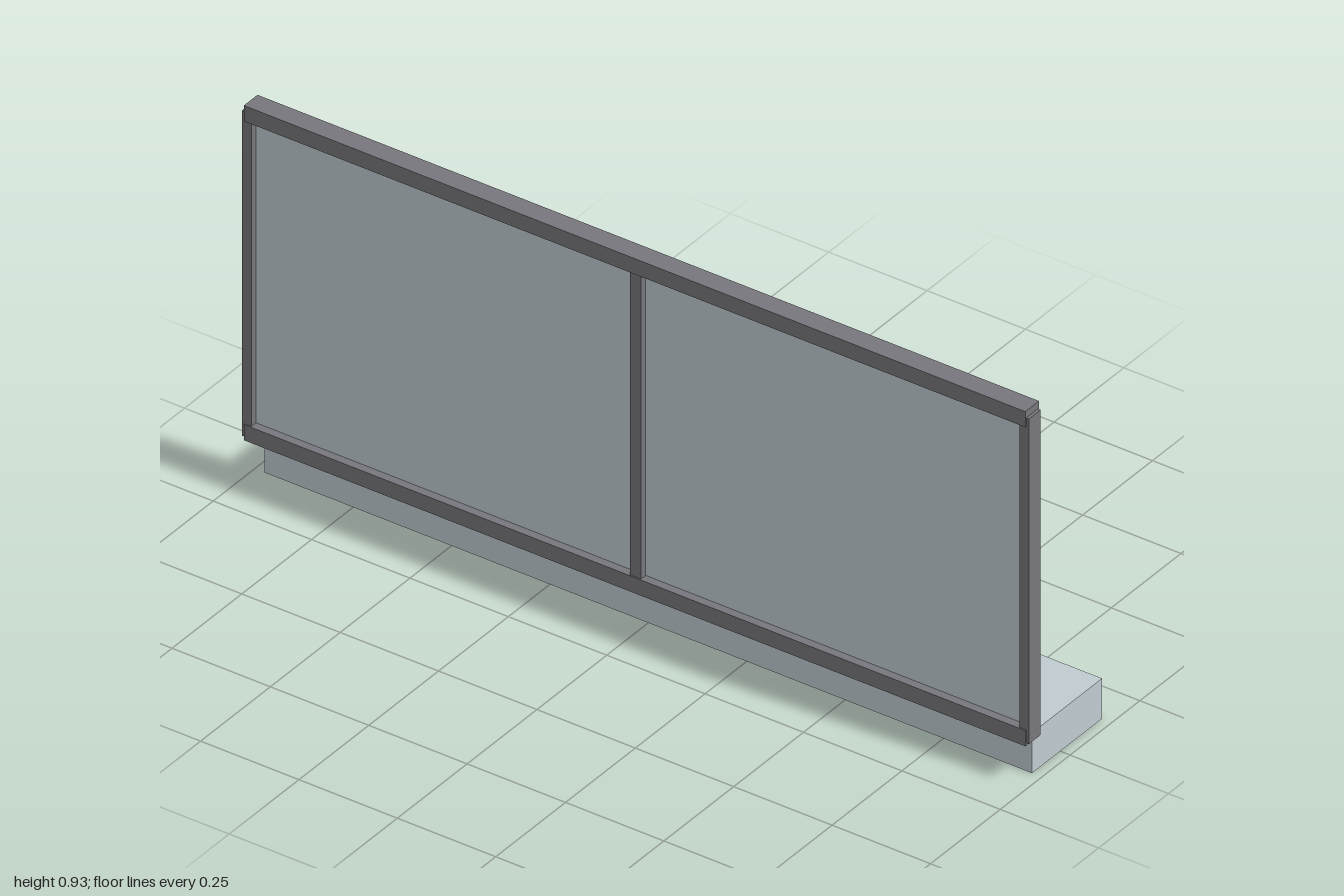
import * as THREE from 'three';

const pale = new THREE.MeshStandardMaterial({ name: 'pale grey', color: 0xc0cbd0 });
const dark = new THREE.MeshStandardMaterial({ name: 'dark grey', color: 0x76767c });

function add(parent, name, geometry, material, x, y, z) {
  const mesh = new THREE.Mesh(geometry, material);
  mesh.name = name;
  mesh.position.set(x, y, z);
  parent.add(mesh);
  return mesh;
}

// Box given by its minimum and maximum on each axis
function box(parent, name, material, [x0, x1], [y0, y1], [z0, z1]) {
  return add(parent, name, new THREE.BoxGeometry(x1 - x0, y1 - y0, z1 - z0), material,
    (x0 + x1) / 2, (y0 + y1) / 2, (z0 + z1) / 2);
}

function ellipsoid(parent, name, rx, ry, rz, y) {
  const geometry = new THREE.SphereGeometry(1, 32, 24).scale(rx, ry, rz);
  return add(parent, name, geometry, pale, 0, y, 0);
}

function createWindow() {
  const frame = new THREE.Group();
  frame.name = 'windowFrame';
  const postZ = [0.105, 0.147];

  // Rails stand slightly proud of the posts
  box(frame, 'bottomRail', dark, [-0.993, 0.993], [0.1, 0.139], [0.101, 0.15]);
  box(frame, 'topRail', dark, [-0.993, 0.993], [0.893, 0.932], [0.101, 0.15]);
  box(frame, 'rightPost', dark, [-1, -0.976], [0.107, 0.915], postZ);
  box(frame, 'leftPost', dark, [0.976, 1], [0.107, 0.915], postZ);
  box(frame, 'centrePost', dark, [-0.014, 0.014], [0.12, 0.91], postZ);

  // One pane on each side of the centre post
  for (const s of [-1, 1]) {
    add(frame, s < 0 ? 'rightPane' : 'leftPane', new THREE.BoxGeometry(0.966, 0.765, 0.008),
      pale, s * 0.495, 0.516, 0.126);
  }
  return frame;
}

function createSign() {
  const sign = new THREE.Group();
  sign.name = 'hangingSign';
  box(sign, 'signBoard', pale, [-0.757, -0.409], [0.535, 0.725], [0.113, 0.119]);
  for (const x of [-0.457, -0.714]) {
    add(sign, 'signString', new THREE.CylinderGeometry(0.002, 0.002, 0.18, 8), dark, x, 0.812, 0.116);
  }
  return sign;
}

function createMannequin() {
  const mannequin = new THREE.Group();
  mannequin.name = 'mannequin';
  mannequin.position.set(0.505, 0, 0);
  add(mannequin, 'standDisc', new THREE.CylinderGeometry(0.063, 0.063, 0.01, 32), dark, 0, 0.105, 0);
  add(mannequin, 'standPole', new THREE.CylinderGeometry(0.004, 0.004, 0.3, 12), dark, 0, 0.255, 0);
  ellipsoid(mannequin, 'torso', 0.08, 0.138, 0.05, 0.515);
  ellipsoid(mannequin, 'shoulders', 0.095, 0.035, 0.05, 0.618);
  add(mannequin, 'neck', new THREE.CylinderGeometry(0.018, 0.018, 0.06, 24), pale, 0, 0.662, 0);
  return mannequin;
}

export function createModel() {
  const model = new THREE.Group();
  model.name = 'shopWindow';
  box(model, 'displayPlinth', pale, [-0.975, 0.975], [0, 0.1], [-0.15, 0.101]);
  model.add(createWindow(), createSign(), createMannequin());
  return model;
}
